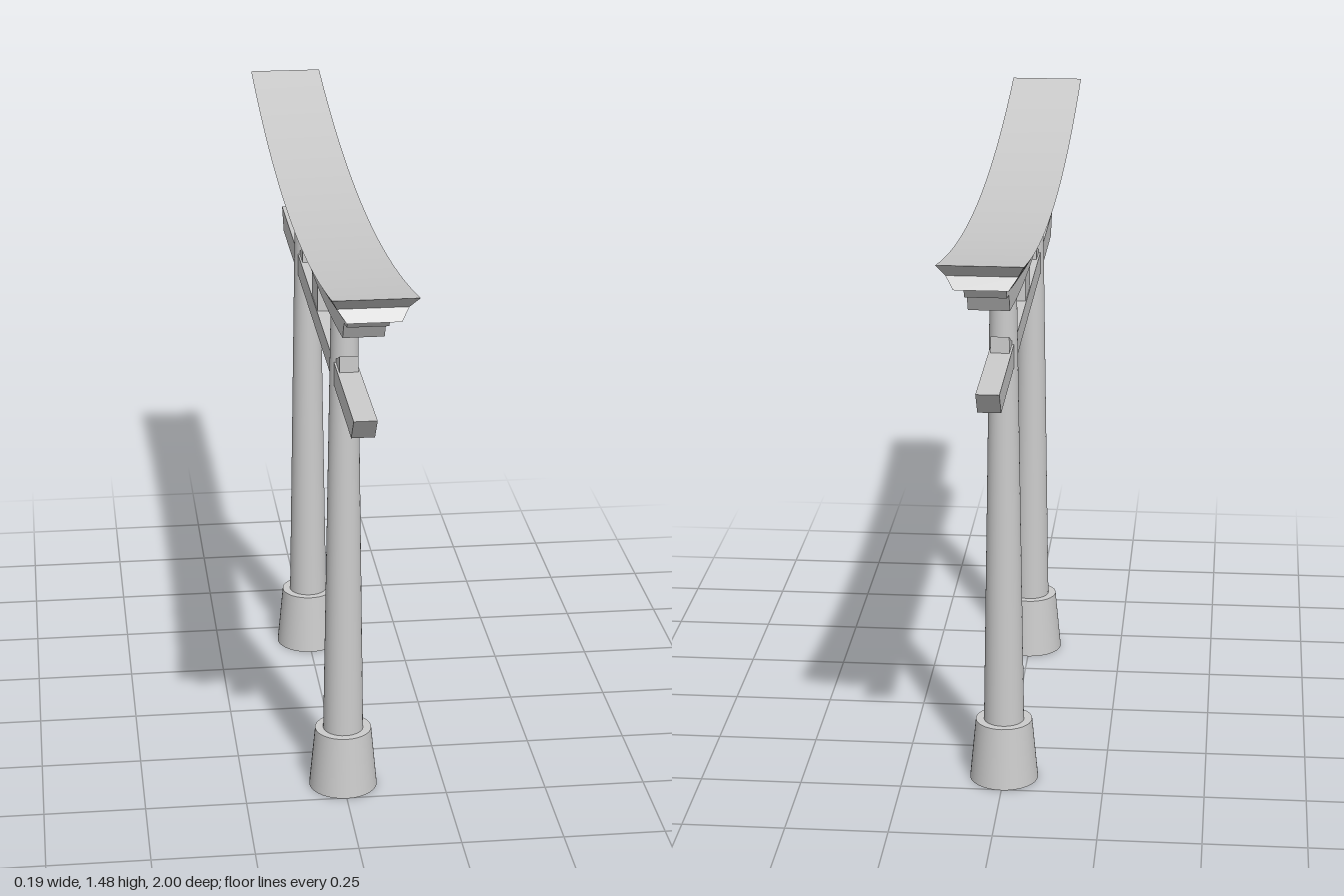
import * as THREE from 'three';
import { toCreasedNormals } from 'three/addons/utils/BufferGeometryUtils.js';

const material = new THREE.MeshStandardMaterial({ color: 0xcccccc });
const sag = (z) => 0.098 * z * z;   // upward sweep of the lintels

function add(parent, name, geometry) {
  const mesh = new THREE.Mesh(geometry, material);
  mesh.name = name;
  parent.add(mesh);
  return mesh;
}

// Extrudes a side profile of [z, y] points across x, centred on x = 0
function sidePlate(points, width) {
  const shape = new THREE.Shape(points.map(([z, y]) => new THREE.Vector2(z, y)));
  const g = new THREE.ExtrudeGeometry(shape, { depth: width, bevelEnabled: false });
  g.translate(0, 0, -width / 2);
  g.rotateY(-Math.PI / 2);
  return toCreasedNormals(g, 0.3);
}

// Mirrors the +z half of a profile to the other end
const mirrored = (half) => [...half, ...half.map(([z, y]) => [-z, y]).reverse()];

// Curved cap beam: trapezoid section with notched ends
function topLintel() {
  const g = new THREE.BoxGeometry(2, 2, 2, 1, 2, 48);
  const rows = [ // bottom, middle, top: half width, half length, height at centre
    [0.06, 0.97, 1.32], [0.079, 0.945, 1.35], [0.095, 1, 1.377],
  ];
  const p = g.attributes.position;
  for (let i = 0; i < p.count; i++) {
    const [w, l, y] = rows[Math.round(p.getY(i)) + 1];
    const z = p.getZ(i) * l;
    p.setXYZ(i, p.getX(i) * w, y + sag(z), z);
  }
  return toCreasedNormals(g, 0.3);
}

// Second curved beam under the cap, with stepped ends
function lowerLintel() {
  const points = [];
  const n = 32;
  for (let i = 0; i <= n; i++) {
    const z = -0.785 + (1.57 * i) / n;
    points.push([z, 1.258 + 0.092 * z * z]);
  }
  points.push([0.81, 1.358], [0.86, 1.365], [0.885, 1.397]);
  for (let i = 0; i <= n; i++) {
    const z = 0.885 - (1.77 * i) / n;
    points.push([z, 1.322 + sag(z)]);
  }
  points.push([-0.86, 1.365], [-0.81, 1.358]);
  return sidePlate(points, 0.094);
}

// A tapered round part standing on y
function drum(rTop, rBottom, y, height) {
  return new THREE.CylinderGeometry(rTop, rBottom, height, 32).translate(0, y + height / 2, 0);
}

export function createModel() {
  const model = new THREE.Group();
  model.name = 'gate';

  add(model, 'topLintel', topLintel());
  add(model, 'lowerLintel', lowerLintel());

  // Straight tie beam with undercut ends, and the strut above it
  add(model, 'tieBeam', sidePlate(mirrored([[0.785, 1.075], [0.83, 1.132]]), 0.054));
  add(model, 'centreStrut', new THREE.BoxGeometry(0.05, 0.15, 0.138).translate(0, 1.2, 0));

  for (const side of [1, -1]) {
    const post = new THREE.Group();
    post.name = side > 0 ? 'frontPost' : 'backPost';
    post.position.z = 0.418 * side;
    add(post, 'base', drum(0.07, 0.085, 0, 0.157));
    add(post, 'shaft', drum(0.032, 0.05, 0.15, 1.12));
    add(post, 'capital', drum(0.046, 0.038, 1.254, 0.03));
    // Wedges driven in on both sides of the shaft
    for (const s of [1, -1]) {
      const wedge = add(post, 'wedge', sidePlate(
        [[0.01, 1.125], [0.095, 1.125], [0.095, 1.172], [0.03, 1.143], [0.01, 1.143]], 0.044));
      if (s < 0) wedge.rotation.y = Math.PI;
    }
    model.add(post);
  }
  return model;
}
